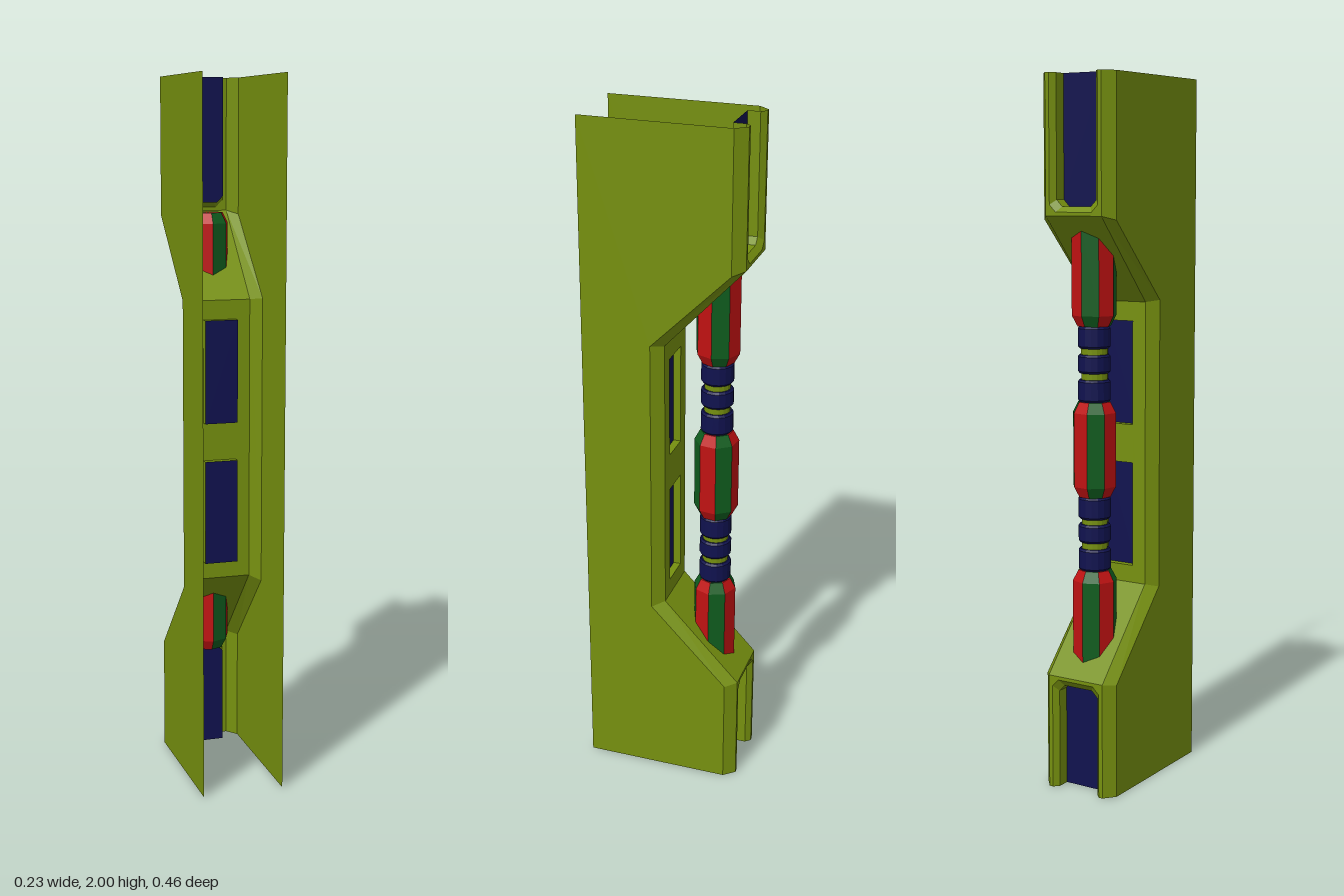
import * as THREE from 'three';

const mat = (color) => new THREE.MeshStandardMaterial({ color, flatShading: true, side: THREE.DoubleSide });

export function createModel() {
  const model = new THREE.Group();
  model.name = 'pillar';
  const olive = mat(0x76900f), blue = mat(0x10124f), green = mat(0x0f5c1e), red = mat(0xc01212);

  const add = (name, geometry, material, z = 0) => {
    const mesh = new THREE.Mesh(geometry, material);
    mesh.name = name;
    mesh.position.z = z;
    model.add(mesh);
    return mesh;
  };

  // Sheet between two rows of [x, y, z] points
  const strip = (a, b) => {
    const p = [];
    for (let i = 0; i < a.length - 1; i++) {
      p.push(...a[i], ...b[i], ...b[i + 1], ...a[i], ...b[i + 1], ...a[i + 1]);
    }
    const g = new THREE.BufferGeometry();
    g.setAttribute('position', new THREE.Float32BufferAttribute(p, 3));
    g.computeVertexNormals();
    return g;
  };
  const shapeOf = (pts) => new THREE.Shape(pts.map(([x, y]) => new THREE.Vector2(x, y)));
  const rectangle = (w, y0, y1) => [[-w, y0], [w, y0], [w, y1], [-w, y1]];

  // Notched back edge as [y, z]: outer line on the side sheets, inner line on the spine
  const outer = [[0, -0.196], [0.325, -0.196], [0.56, 0.03], [1.385, 0.03], [1.61, -0.196], [2, -0.196]];
  const inner = [[0, -0.228], [0.33, -0.228], [0.57, -0.003], [1.38, -0.003], [1.62, -0.228], [2, -0.228]];
  const SIDE = 0.117, SPINE = 0.09, FRONT = 0.228;
  const at = (path, x) => path.map(([y, z]) => [x, y, z]);

  // Side sheets and chamfered edges
  for (const s of [1, -1]) {
    const tag = s > 0 ? 'left' : 'right';
    const outline = [[FRONT, 2], [FRONT, 0], ...outer.map(([y, z]) => [z, y])];
    const g = new THREE.ShapeGeometry(shapeOf(outline)).rotateY(-Math.PI / 2).translate(s * SIDE, 0, 0);
    add(tag + 'SidePanel', g, olive);
    add(tag + 'Chamfer', strip(at(outer, s * SIDE), at(inner, s * SPINE)), olive);
  }

  // Sloped walls of the recess
  for (const [i, name] of [[1, 'lowerSlope'], [3, 'upperSlope']]) {
    const path = inner.slice(i, i + 2);
    add(name, strip(at(path, -SPINE), at(path, SPINE)), olive);
  }

  // Recess wall with two sunken windows
  const windows = [[0.62, 0.92], [1.03, 1.325]];
  const wall = shapeOf(rectangle(SPINE, 0.57, 1.38));
  for (const [y0, y1] of windows) {
    const r = rectangle(0.048, y0, y1);
    wall.holes.push(new THREE.Path(r.map(([x, y]) => new THREE.Vector2(x, y))));
    const loop = [...r, r[0]];
    add('windowReveal', strip(loop.map(([x, y]) => [x, y, -0.003]), loop.map(([x, y]) => [x, y, 0.018])), olive);
    add('windowPane', new THREE.ShapeGeometry(shapeOf(r)), blue, 0.018);
  }
  add('recessWall', new THREE.ShapeGeometry(wall), olive, -0.003);

  // End plates with a bevelled pocket, open at the end of the pillar
  const pocket = (w, end, y, cut) => {
    const d = Math.sign(end - y) * cut;
    return [[w, end], [w, y + d], [w - cut, y], [-w + cut, y], [-w, y + d], [-w, end]];
  };
  for (const [name, end, edge, rimY, paneY] of [['upper', 2, 1.62, 1.63, 1.645], ['lower', 0, 0.33, 0.32, 0.302]]) {
    const rim = pocket(0.078, end, rimY, 0.02);
    const pane = pocket(0.064, end, paneY, 0.018);
    const frame = [[SPINE, end], ...rim, [-SPINE, end], [-SPINE, edge], [SPINE, edge]];
    const z = (pts, depth) => pts.map(([x, y]) => [x, y, depth]);
    add(name + 'BackFrame', new THREE.ShapeGeometry(shapeOf(frame)), olive, -0.228);
    add(name + 'PocketBevel', strip(z(rim, -0.228), z(pane, -0.213)), olive);
    add(name + 'PocketReveal', strip(z(pane, -0.213), z(pane, -0.178)), olive);
    add(name + 'PocketPane', new THREE.ShapeGeometry(shapeOf(pane)), blue, -0.178);
  }

  // Rod: striped grips with tapered ends, joined by collars on a core
  const RODZ = -0.127;
  const spool = (y0, y1, r, r0, taper) => [
    [0, y0], [r0, y0], [r, y0 + taper], [r, y1 - taper], [r0, y1], [0, y1],
  ].map(([x, y]) => new THREE.Vector2(x, y));

  const grips = [['lowerGrip', 0.325, 0.63, 0], ['middleGrip', 0.84, 1.108, 0.25], ['upperGrip', 1.318, 1.62, 0]];
  for (const [name, y0, y1, turn] of grips) {
    for (let i = 0; i < 8; i++) {
      const g = new THREE.LatheGeometry(spool(y0, y1, 0.063, 0.047, 0.03), 1, (i - 1) * Math.PI / 4 + turn, Math.PI / 4);
      add(name + 'Stripe', g, i % 2 ? green : red, RODZ);
    }
  }
  const collars = [[0.63, 0.692], [0.71, 0.762], [0.777, 0.84], [1.108, 1.17], [1.188, 1.24], [1.257, 1.318]];
  for (const [y0, y1] of collars) {
    add('collar', new THREE.LatheGeometry(spool(y0, y1, 0.046, 0.041, 0.006), 16), blue, RODZ);
  }
  add('rodCore', new THREE.CylinderGeometry(0.037, 0.037, 0.8, 16).translate(0, 0.974, 0), olive, RODZ);

  return model;
}
